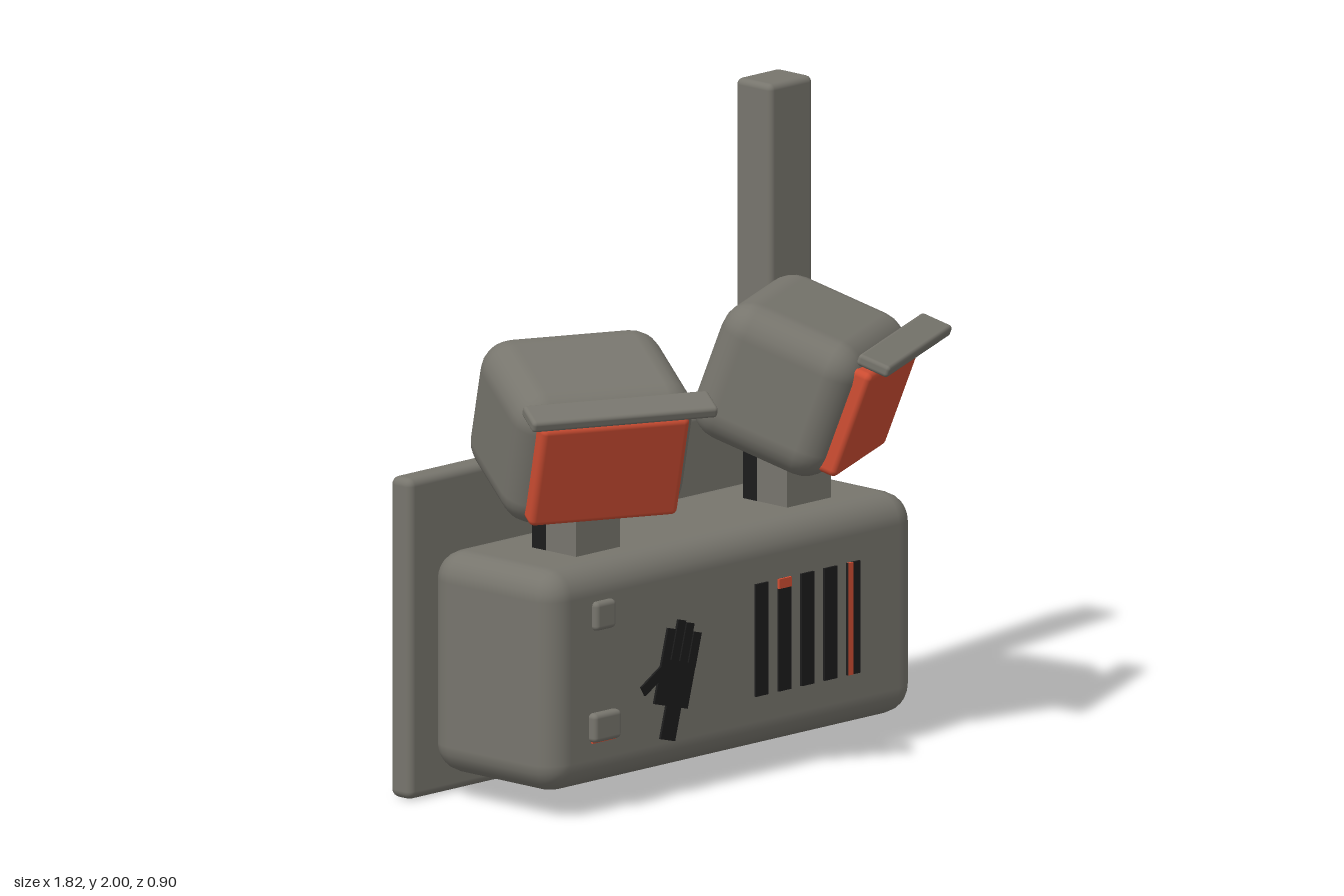
import * as THREE from 'three';
import { RoundedBoxGeometry } from 'three/addons/geometries/RoundedBoxGeometry.js';

export function createModel() {
  const model = new THREE.Group();
  model.name = 'floodlightBox';
  const material = (name, color) => {
    const m = new THREE.MeshStandardMaterial({ color });
    m.name = name;
    return m;
  };
  const grey = material('warmGrey', 0x77756d);
  const red = material('lampRed', 0xd04e33);
  const black = material('black', 0x1c1c1c);

  const place = (parent, name, geometry, mat, x, y, z) => {
    const mesh = new THREE.Mesh(geometry, mat);
    mesh.name = name;
    mesh.position.set(x, y, z);
    parent.add(mesh);
    return mesh;
  };
  const rounded = (parent, name, [w, h, d], r, mat, x, y, z) =>
    place(parent, name, new RoundedBoxGeometry(w, h, d, 3, r), mat, x, y, z);
  const box = (parent, name, [w, h, d], mat, x, y, z) =>
    place(parent, name, new THREE.BoxGeometry(w, h, d), mat, x, y, z);

  // Mounting plate, housing and post
  rounded(model, 'backPlate', [1.76, 1, 0.087], 0.025, grey, 0, 0.5, -0.408);
  rounded(model, 'housing', [1.61, 0.69, 0.53], 0.09, grey, 0, 0.425, -0.105);
  rounded(model, 'post', [0.19, 1, 0.15], 0.02, grey, 0.69, 1.5, -0.345);

  // Two lamp heads, turned outward and tipped down
  for (const side of [-1, 1]) {
    const prefix = side > 0 ? 'left' : 'right';
    box(model, prefix + 'Neck', [0.19, 0.28, 0.18], grey, side * 0.46, 0.87, -0.065);
    box(model, prefix + 'NeckBack', [0.192, 0.2, 0.06], black, side * 0.46, 0.85, -0.132);

    const head = new THREE.Group();
    head.name = prefix + 'Lamp';
    head.position.set(side * 0.475, 1.155, -0.03);
    head.rotation.set(0.35, side * 0.446, 0, 'YXZ');
    model.add(head);
    rounded(head, prefix + 'LampShell', [0.58, 0.45, 0.47], 0.1, grey, 0, 0, 0);
    rounded(head, prefix + 'Lens', [0.48, 0.35, 0.07], 0.02, red, 0, 0, 0.235);
    rounded(head, prefix + 'Visor', [0.6, 0.037, 0.108], 0.012, grey, 0, 0.227, 0.275);
  }

  // Buttons, with a red lip under the lower one
  rounded(model, 'upperButton', [0.09, 0.09, 0.04], 0.015, grey, -0.58, 0.617, 0.16);
  rounded(model, 'lowerButton', [0.12, 0.09, 0.04], 0.015, grey, -0.58, 0.272, 0.168);
  box(model, 'lowerButtonLip', [0.1, 0.01, 0.009], red, -0.58, 0.228, 0.164);

  // Vent slots with red markers
  for (let i = 0; i < 5; i++) {
    box(model, 'slot', [0.055, 0.35, 0.009], black, 0.11 + i * 0.1, 0.425, 0.163);
  }
  box(model, 'slotCap', [0.055, 0.03, 0.009], red, 0.21, 0.585, 0.165);
  box(model, 'slotStripe', [0.018, 0.35, 0.009], red, 0.495, 0.425, 0.165);

  // Hand mark
  const hand = new THREE.Group();
  hand.name = 'handMark';
  hand.position.set(-0.27, 0.35, 0.163);
  hand.rotation.z = -0.26;
  model.add(hand);
  box(hand, 'palm', [0.15, 0.14, 0.009], black, 0, 0, 0);
  box(hand, 'wrist', [0.065, 0.11, 0.009], black, 0.013, -0.118, 0);
  [0.105, 0.135, 0.13, 0.105].forEach((h, i) =>
    box(hand, 'finger', [0.034, h, 0.009], black, -0.058 + i * 0.039, 0.06 + h / 2, 0));
  box(hand, 'thumb', [0.13, 0.034, 0.009], black, -0.087, 0.009, 0).rotation.z = 0.8;

  return model;
}
